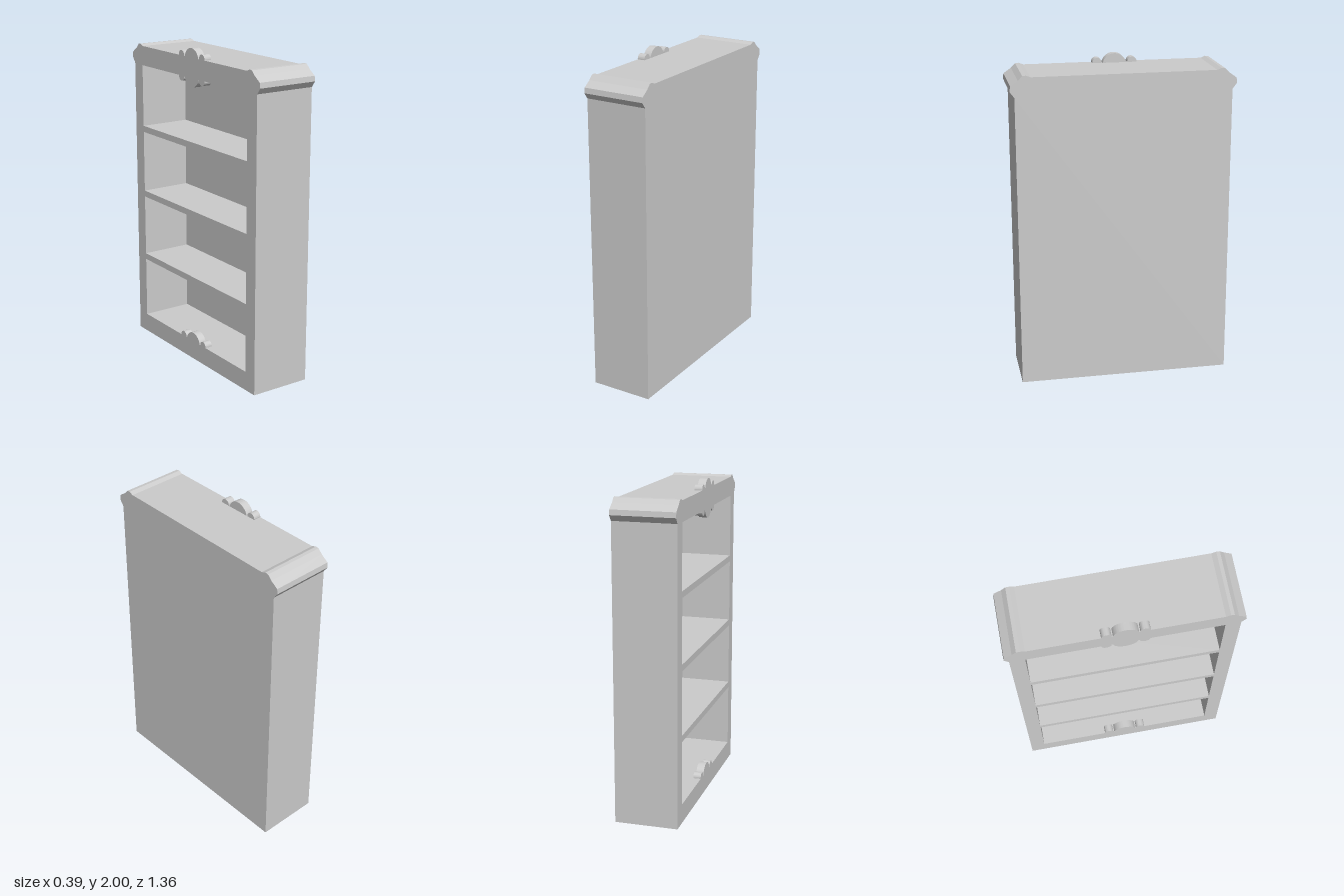
import * as THREE from 'three';
import { toCreasedNormals } from 'three/addons/utils/BufferGeometryUtils.js';

const FRONT = -0.195;            // open side faces -x
const DEPTH = 0.39, INNER = 0.325;
const TOP = 1.943, OPEN_W = 0.565, OPEN_BOTTOM = 0.12, OPEN_TOP = 1.82;

const material = new THREE.MeshStandardMaterial({ color: 0xcccccc });

// Extrude a (z, y) outline along +x, starting at the given x
function extrudeX(shape, depth, x, curveSegments = 12) {
  const geo = new THREE.ExtrudeGeometry(shape, { depth, bevelEnabled: false, curveSegments });
  return geo.rotateY(Math.PI / 2).translate(x, 0, 0);
}

function part(name, geometry) {
  const mesh = new THREE.Mesh(geometry, material);
  mesh.name = name;
  return mesh;
}

// Cabinet silhouette with the moulded crown at both ends
function silhouette() {
  const half = [
    [0.655, 0], [0.655, 1.825], [0.682, 1.861], [0.678, 1.893], [0.632, 1.925],
    [0.606, 1.952], [0.585, 1.954], [0.557, TOP],
  ];
  const mirrored = half.map(([u, v]) => [-u, v]).reverse();
  return new THREE.Shape([...half, ...mirrored].map(([u, v]) => new THREE.Vector2(u, v)));
}

// Three-lobed crest rising (dir = 1) or hanging (dir = -1) from a rail edge
function crest(name, y, dir) {
  const group = new THREE.Group();
  group.name = name;
  const lobes = [[0, 0.075, -0.018], [-0.109, 0.029, 0.003], [0.109, 0.029, 0.003]];
  for (const [u, radius, lift] of lobes) {
    const start = Math.asin(-lift / radius);
    const shape = new THREE.Shape();
    if (dir > 0) shape.absarc(u, y + lift, radius, start, Math.PI - start, false);
    else shape.absarc(u, y - lift, radius, Math.PI + start, 2 * Math.PI - start, false);
    shape.closePath();
    group.add(part('crestLobe', toCreasedNormals(extrudeX(shape, 0.048, FRONT, 16), 0.6)));
  }
  return group;
}

export function createModel() {
  const model = new THREE.Group();
  model.name = 'bookcase';

  // Carcass: sides, rails and crown around the opening
  const frame = silhouette();
  frame.holes.push(new THREE.Path([
    new THREE.Vector2(-OPEN_W, OPEN_BOTTOM), new THREE.Vector2(-OPEN_W, OPEN_TOP),
    new THREE.Vector2(OPEN_W, OPEN_TOP), new THREE.Vector2(OPEN_W, OPEN_BOTTOM),
  ]));
  model.add(part('carcass', extrudeX(frame, INNER, FRONT)));

  // Closed back
  model.add(part('backPanel', extrudeX(silhouette(), DEPTH - INNER, FRONT + INNER)));

  // Three shelves, evenly spaced and flush with the frame
  const thickness = 0.04;
  const pitch = (OPEN_TOP - OPEN_BOTTOM + thickness) / 4;
  for (let i = 1; i <= 3; i++) {
    const shelf = part('shelf', new THREE.BoxGeometry(INNER, thickness, OPEN_W * 2));
    shelf.position.set(FRONT + INNER / 2, OPEN_BOTTOM + i * pitch - thickness / 2, 0);
    model.add(shelf);
  }

  // Carved crests on the rails
  model.add(crest('topCrest', TOP, 1));
  model.add(crest('hangingCrest', OPEN_TOP, -1));
  model.add(crest('bottomCrest', OPEN_BOTTOM, 1));

  return model;
}
